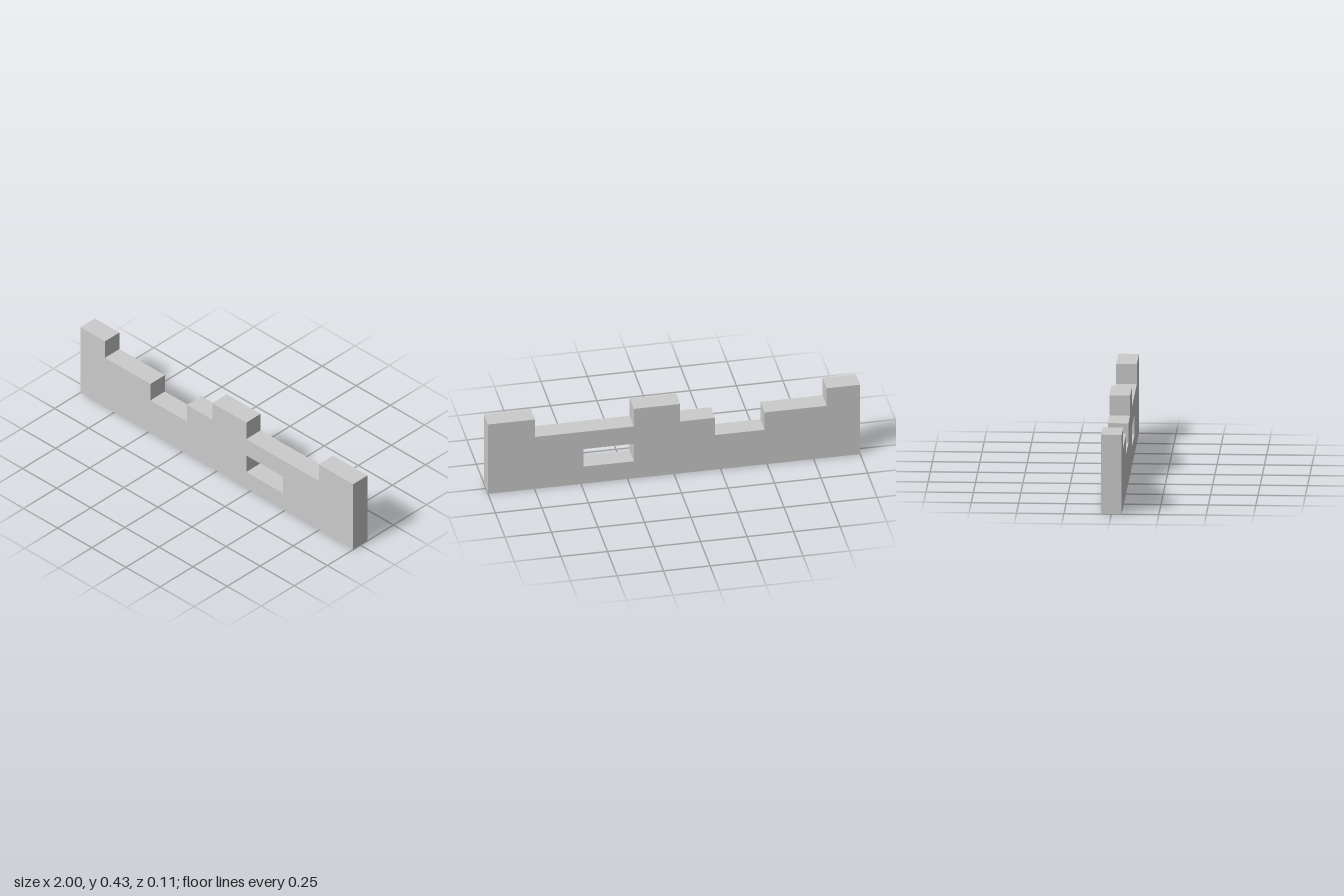
import * as THREE from 'three';

const DEPTH = 0.109;
// Step levels of the wall
const LOW = 0.213, MID = 0.32, HIGH = 0.428;

// Top edge as level runs, from right to left: [start x, end x, height]
const STEPS = [
  [1, 0.748, HIGH],
  [0.748, 0.216, MID],
  [0.216, -0.033, HIGH],
  [-0.033, -0.22, MID],
  [-0.22, -0.487, LOW],
  [-0.487, -0.82, MID],
  [-0.82, -1, HIGH],
];

export function createModel() {
  const group = new THREE.Group();
  group.name = 'steppedWall';

  // Stepped outline
  const outline = new THREE.Shape();
  outline.moveTo(-1, 0);
  outline.lineTo(1, 0);
  for (const [start, end, height] of STEPS) {
    outline.lineTo(start, height);
    outline.lineTo(end, height);
  }
  outline.closePath();

  // Rectangular window
  const hole = new THREE.Path();
  hole.moveTo(0.216, 0.105);
  hole.lineTo(0.216, LOW);
  hole.lineTo(0.487, LOW);
  hole.lineTo(0.487, 0.105);
  hole.closePath();
  outline.holes.push(hole);

  // Wall slab, centred on z
  const geometry = new THREE.ExtrudeGeometry(outline, { depth: DEPTH, bevelEnabled: false });
  geometry.translate(0, 0, -DEPTH / 2);
  const wall = new THREE.Mesh(geometry, new THREE.MeshStandardMaterial({ color: 0xcccccc }));
  wall.name = 'wall';
  group.add(wall);

  return group;
}
